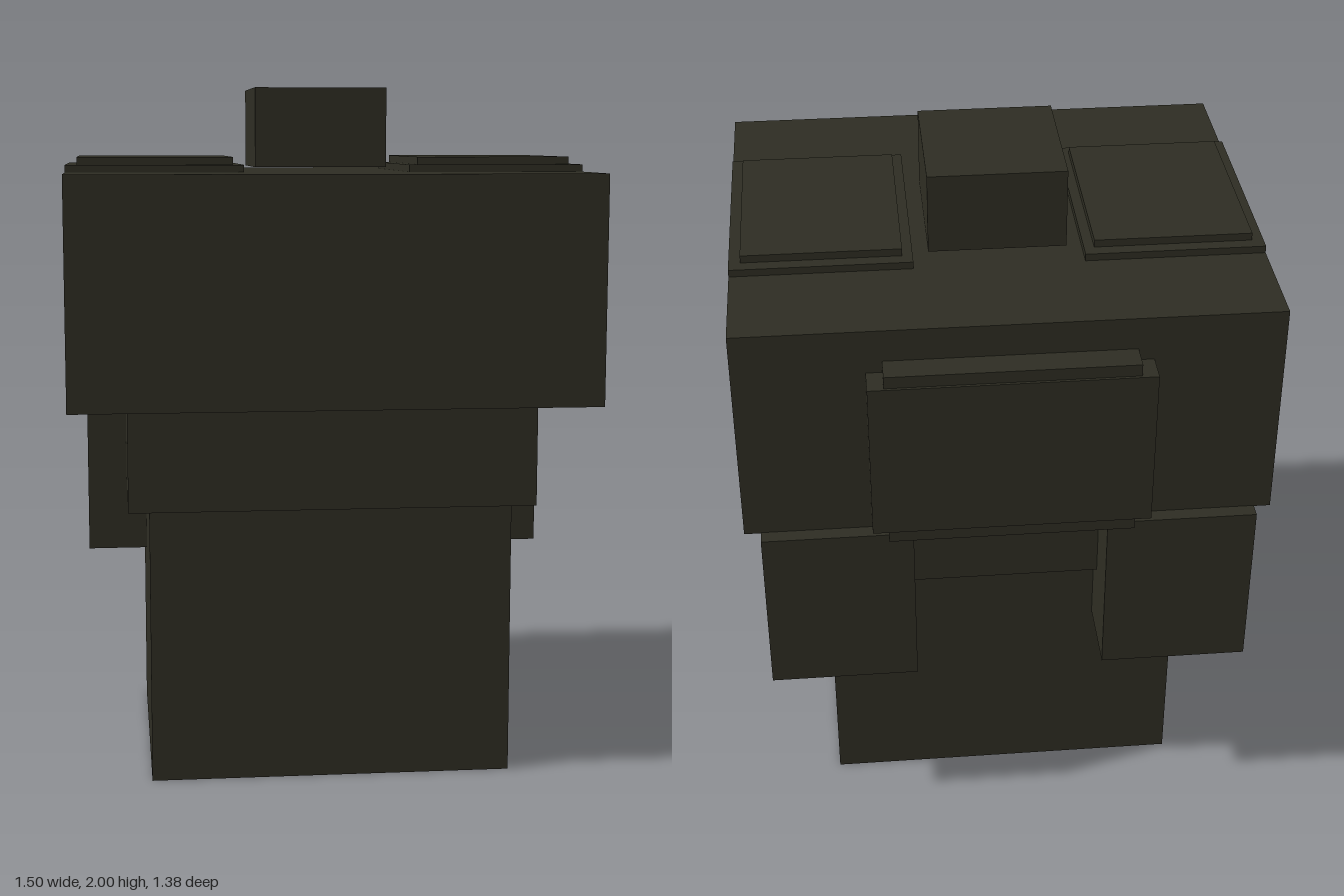
import * as THREE from 'three';

export function createModel() {
  const model = new THREE.Group();
  model.name = 'blockFigure';
  const darkOlive = new THREE.MeshStandardMaterial({ color: 0x2e2d23 });
  darkOlive.name = 'darkOlive';

  // Box given by its extents along each axis
  function block(name, [x0, x1], [y0, y1], [z0, z1]) {
    const mesh = new THREE.Mesh(new THREE.BoxGeometry(x1 - x0, y1 - y0, z1 - z0), darkOlive);
    mesh.position.set((x0 + x1) / 2, (y0 + y1) / 2, (z0 + z1) / 2);
    mesh.name = name;
    model.add(mesh);
  }

  // Stacked body, with the head hovering just above the chest
  block('base', [-0.525, 0.525], [0, 0.805], [-0.415, 0.51]);
  block('waist', [-0.585, 0.585], [0.805, 1.105], [-0.48, 0.573]);
  block('chest', [-0.75, 0.75], [1.105, 1.755], [-0.6, 0.688]);
  block('head', [-0.195, 0.195], [1.767, 2], [-0.213, 0.203]);

  // Back pack: a tall core crossed by a wider plate
  block('backPackCore', [-0.345, 0.345], [1.112, 1.66], [-0.68, -0.6]);
  block('backPackPlate', [-0.39, 0.39], [1.15, 1.625], [-0.688, -0.6]);

  // Mirrored hip pods and two-step shoulder plates
  for (const [side, s] of [['left', 1], ['right', -1]]) {
    const span = (a, b) => (s > 0 ? [a, b] : [-b, -a]);
    block(side + 'HipPod', span(0.275, 0.703), [0.588, 1.107], [-0.643, 0.015]);
    block(side + 'ShoulderPlate', span(0.24, 0.75), [1.755, 1.776], [-0.283, 0.373]);
    block(side + 'ShoulderTopPlate', span(0.269, 0.717), [1.776, 1.798], [-0.245, 0.333]);
  }
  return model;
}
